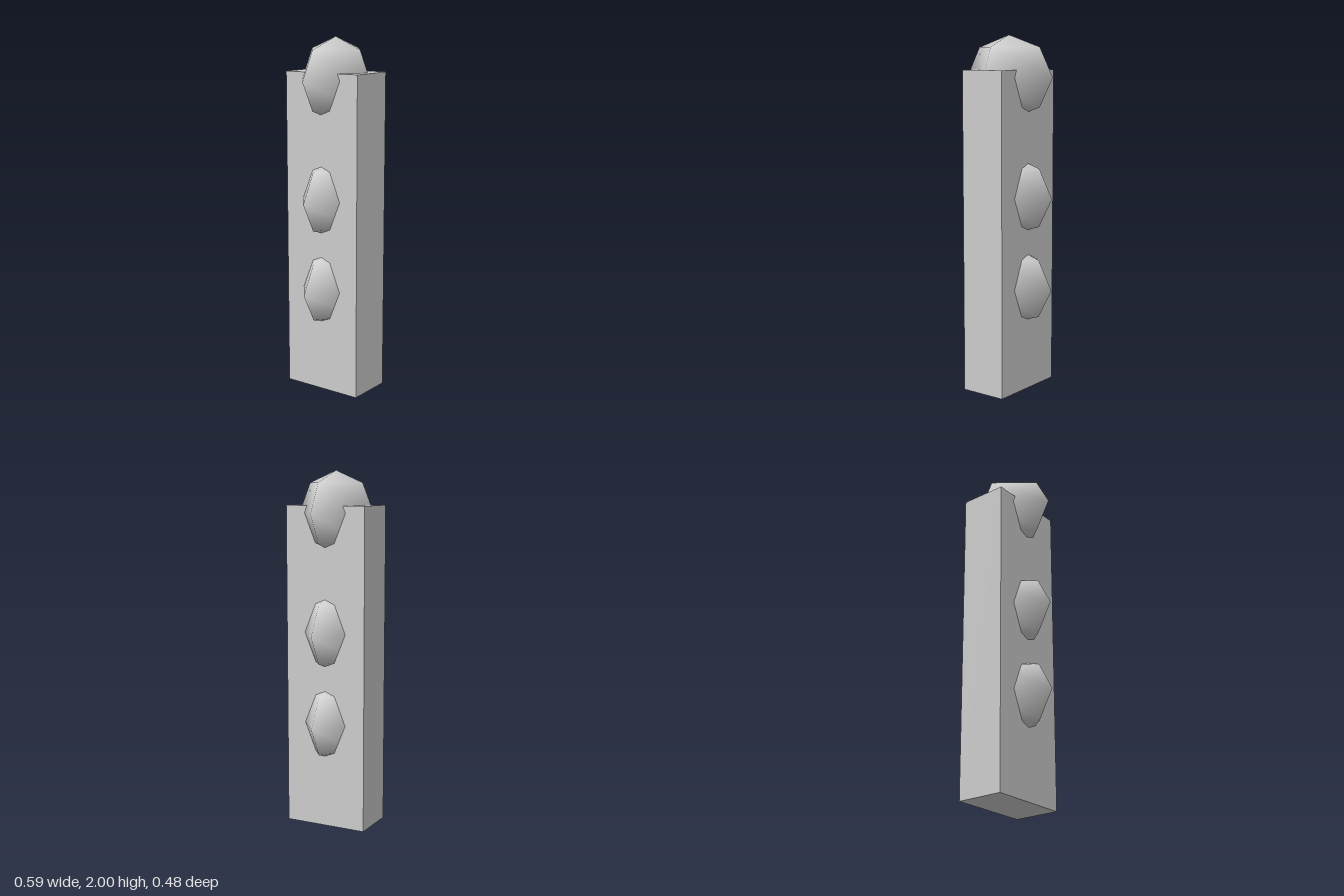
import * as THREE from 'three';

export function createModel() {
  const group = new THREE.Group();
  const material = new THREE.MeshStandardMaterial({ color: 0xcccccc });

  // Upright rectangular post
  const post = new THREE.Mesh(new THREE.BoxGeometry(0.27, 1.81, 0.48), material);
  post.name = 'post';
  post.position.y = 0.905;
  group.add(post);

  // Three coarse, smooth-shaded lamps, stretched sideways through the post
  const lampGeometry = new THREE.SphereGeometry(1, 4, 4);
  const lamps = [['topLamp', 1.77], ['middleLamp', 1.11], ['lowerLamp', 0.595]];
  for (const [name, y] of lamps) {
    const lamp = new THREE.Mesh(lampGeometry, material);
    lamp.name = name;
    lamp.scale.set(0.297, 0.23, 0.23);
    lamp.position.y = y;
    group.add(lamp);
  }

  return group;
}
